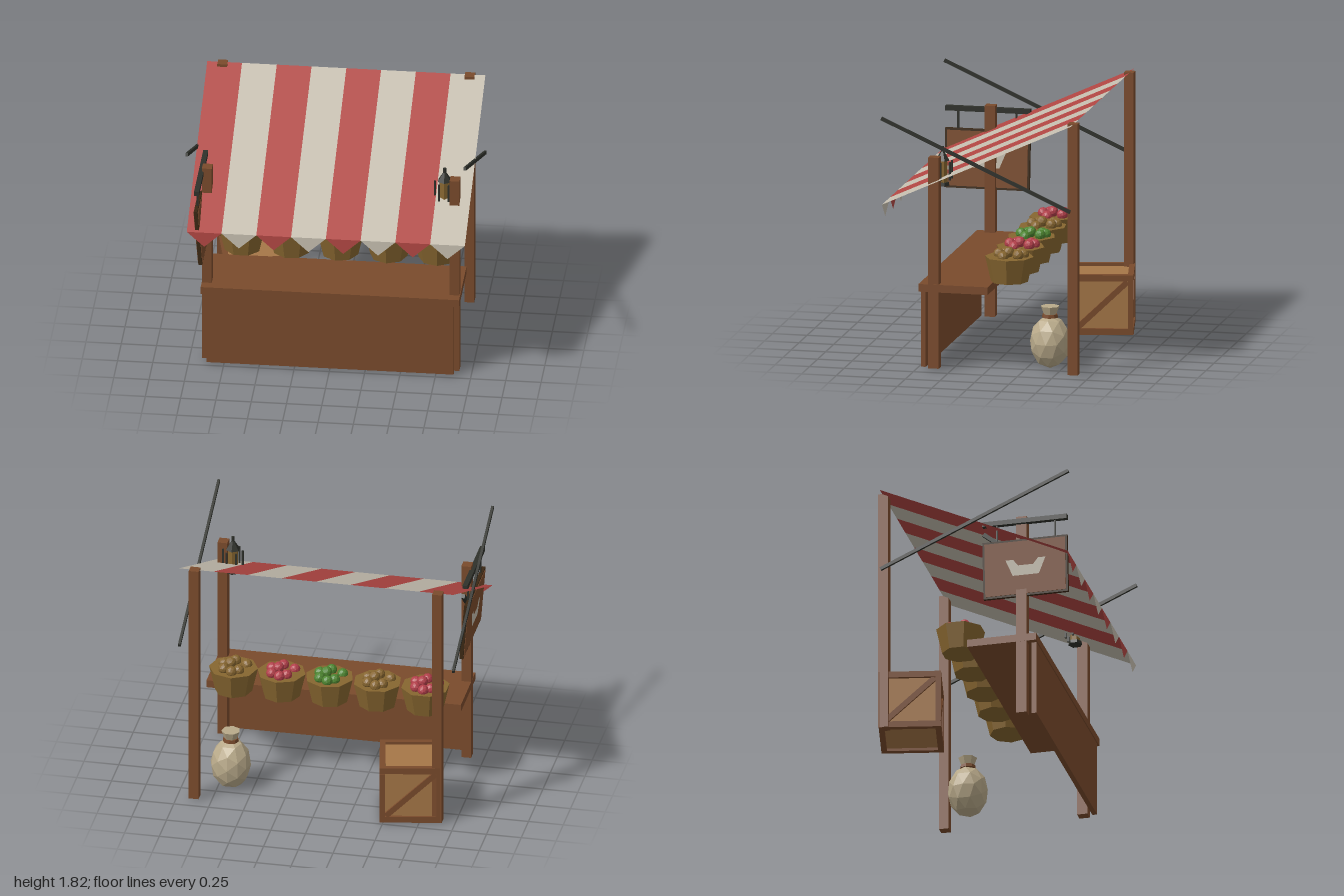
import * as THREE from 'three';

const mat = (name, color, double = false) => {
  const m = new THREE.MeshStandardMaterial({ color, flatShading: true });
  m.name = name;
  if (double) m.side = THREE.DoubleSide;
  return m;
};

export function createModel() {
  const wood = mat('wood', 0x7a4b2c);
  const red = mat('red cloth', 0xb04642, true);
  const cream = mat('cream cloth', 0xc4bdae, true);
  const iron = mat('iron', 0x2f312b);
  const ochre = mat('ochre', 0x876630);
  const plank = mat('light plank', 0xa67747);
  const burlap = mat('burlap', 0xb9aa8a);
  const darkWood = mat('dark wood', 0x3b2814);
  const apple = mat('apple red', 0xb23f4a);
  const green = mat('green', 0x4d8530);

  const root = new THREE.Group();
  root.name = 'marketStall';
  const group = (name, x = 0, y = 0, z = 0, parent = root) => {
    const g = new THREE.Group();
    g.name = name;
    g.position.set(x, y, z);
    parent.add(g);
    return g;
  };
  const add = (name, geo, m, x, y, z, parent = root) => {
    const mesh = new THREE.Mesh(geo, m);
    mesh.name = name;
    mesh.position.set(x, y, z);
    parent.add(mesh);
    return mesh;
  };
  const box = (name, m, w, h, d, x, y, z, parent) =>
    add(name, new THREE.BoxGeometry(w, h, d), m, x, y, z, parent);
  const up = new THREE.Vector3(0, 1, 0);
  // square beam running between two points
  const beam = (name, m, a, b, w, d, parent) => {
    const p = new THREE.Vector3(...a), q = new THREE.Vector3(...b);
    const dir = q.clone().sub(p);
    const c = p.clone().add(q).multiplyScalar(0.5);
    const mesh = box(name, m, w, dir.length(), d, c.x, c.y, c.z, parent);
    mesh.quaternion.setFromUnitVectors(up, dir.normalize());
    return mesh;
  };

  // Posts and slanted side rods
  for (const s of [-1, 1]) {
    box('backPost', wood, 0.07, 1.81, 0.07, s * 0.875, 0.925, -0.63);
    box('frontPost', wood, 0.07, 1.52, 0.075, s * 0.877, 0.78, 0.375);
    beam('sideRod', iron, [s * 0.985, 1.822, 0.735], [s * 0.985, 1.212, -0.63], 0.018, 0.024);
  }

  // Counter
  box('counterTop', wood, 1.83, 0.055, 0.5, 0.002, 0.598, 0.232);
  box('counterFront', wood, 1.75, 0.55, 0.035, 0.003, 0.297, 0.457);

  // Striped canopy with pointed valance
  const canopy = group('canopy');
  const w = 1.97 / 8;
  const sheet = (name, pts, faces, m) => {
    const g = new THREE.BufferGeometry();
    g.setAttribute('position', new THREE.Float32BufferAttribute(pts.flat(), 3));
    g.setIndex(faces);
    g.computeVertexNormals();
    add(name, g, m, 0, 0, 0, canopy);
  };
  for (let i = 0; i < 8; i++) {
    const x0 = -0.985 + i * w, x1 = x0 + w, m = i % 2 ? cream : red;
    sheet('canopyStripe', [[x0, 1.2, 0.73], [x1, 1.2, 0.73], [x1, 1.828, -0.635], [x0, 1.828, -0.635]],
      [0, 1, 2, 0, 2, 3], m);
    sheet('valancePoint', [[x0, 1.2, 0.73], [(x0 + x1) / 2, 1.09, 0.735], [x1, 1.2, 0.73]], [0, 1, 2], m);
  }

  // Produce baskets
  const fruitSpots = [[-0.085, 0, 0.05], [0.0, 0.012, 0.075], [0.075, 0.005, 0.03], [0.02, 0.03, 0],
    [-0.05, 0.01, -0.065], [0.055, 0.018, -0.075], [-0.005, 0.012, -0.1]];
  [apple, ochre, green, apple, ochre].forEach((m, i) => {
    const b = group('basket', -0.68 + i * 0.345, 0.63, -0.125);
    const tub = add('basketTub', new THREE.CylinderGeometry(0.174, 0.132, 0.18, 8), ochre, 0, 0.09, 0, b);
    tub.rotation.y = Math.PI / 8 + i * 0.12;
    fruitSpots.forEach(([x, y, z], k) => {
      const f = add('fruit', new THREE.IcosahedronGeometry(0.04, 1), m, x, 0.184 + y, z, b);
      f.rotation.set(k, k * 1.7 + i, 0);
    });
  });

  // Hanging sign on its iron bracket
  box('signBar', iron, 0.035, 0.035, 0.615, -0.918, 1.497, 0.403);
  beam('signBrace', iron, [-0.893, 1.25, 0.33], [-0.905, 1.43, 0.1], 0.025, 0.03);
  for (const z of [0.2, 0.62]) box('signHanger', iron, 0.012, 0.14, 0.012, -0.92, 1.415, z);
  const sign = group('sign', -0.925, 1.35, 0.405);
  sign.rotation.z = 0.08;
  box('signFrame', darkWood, 0.026, 0.425, 0.615, 0, -0.21, 0, sign);
  box('signBoard', wood, 0.034, 0.395, 0.585, 0, -0.21, 0, sign);
  const pts = [[-0.145, 0.06], [-0.095, -0.06], [0.095, -0.06], [0.145, 0.06], [0.09, 0.06], [0.055, 0.015],
    [-0.055, 0.015], [-0.09, 0.06]];
  const emblem = new THREE.ShapeGeometry(new THREE.Shape(pts.map(p => new THREE.Vector2(...p))));
  for (const s of [-1, 1]) {
    add('signEmblem', emblem, cream, s * 0.02, -0.21, 0.005, sign).rotation.y = s * Math.PI / 2;
  }

  // Lantern with six cage bars
  const lantern = group('lantern', 0.8, 0, 0.335);
  const hex = (name, m, rt, rb, y0, y1) =>
    add(name, new THREE.CylinderGeometry(rt, rb, y1 - y0, 6), m, 0, (y0 + y1) / 2, 0, lantern);
  hex('lanternBase', iron, 0.045, 0.05, 1.32, 1.345);
  hex('lanternGlass', ochre, 0.036, 0.036, 1.345, 1.5);
  hex('lanternRoof', iron, 0.012, 0.052, 1.5, 1.565);
  hex('lanternFinial', iron, 0.012, 0.012, 1.565, 1.6);
  for (let i = 0; i < 6; i++) {
    const a = i * Math.PI / 3;
    box('lanternBar', iron, 0.013, 0.13, 0.013, 0.07 * Math.cos(a), 1.43, 0.07 * Math.sin(a), lantern);
  }

  // Framed crate
  const crate = group('crate', -0.652, 0.235, -0.49);
  crate.rotation.y = 0.2;
  box('cratePanels', plank, 0.4, 0.39, 0.4, 0, 0, 0, crate);
  for (let i = 0; i < 4; i++) {
    const side = group('crateSide', 0, 0, 0, crate);
    side.rotation.y = i * Math.PI / 2;
    for (const s of [-1, 1]) box('crateRail', wood, 0.44, 0.045, 0.04, 0, s * 0.193, 0.2, side);
    box('crateUpright', wood, 0.04, 0.34, 0.04, 0.2, 0, 0.2, side);
    beam('crateDiagonal', wood, [-0.175, -0.165, 0.205], [0.175, 0.165, 0.205], 0.04, 0.022, side);
  }

  // Tied sack
  const sack = group('sack', 0.66, 0, -0.41);
  add('sackBody', new THREE.IcosahedronGeometry(1, 1), burlap, 0, 0.2, 0, sack).scale.set(0.145, 0.19, 0.145);
  add('sackTie', new THREE.CylinderGeometry(0.054, 0.058, 0.024, 8), wood, 0, 0.388, 0, sack);
  add('sackNeck', new THREE.CylinderGeometry(0.068, 0.045, 0.06, 7), burlap, 0, 0.427, 0, sack);

  return root;
}
